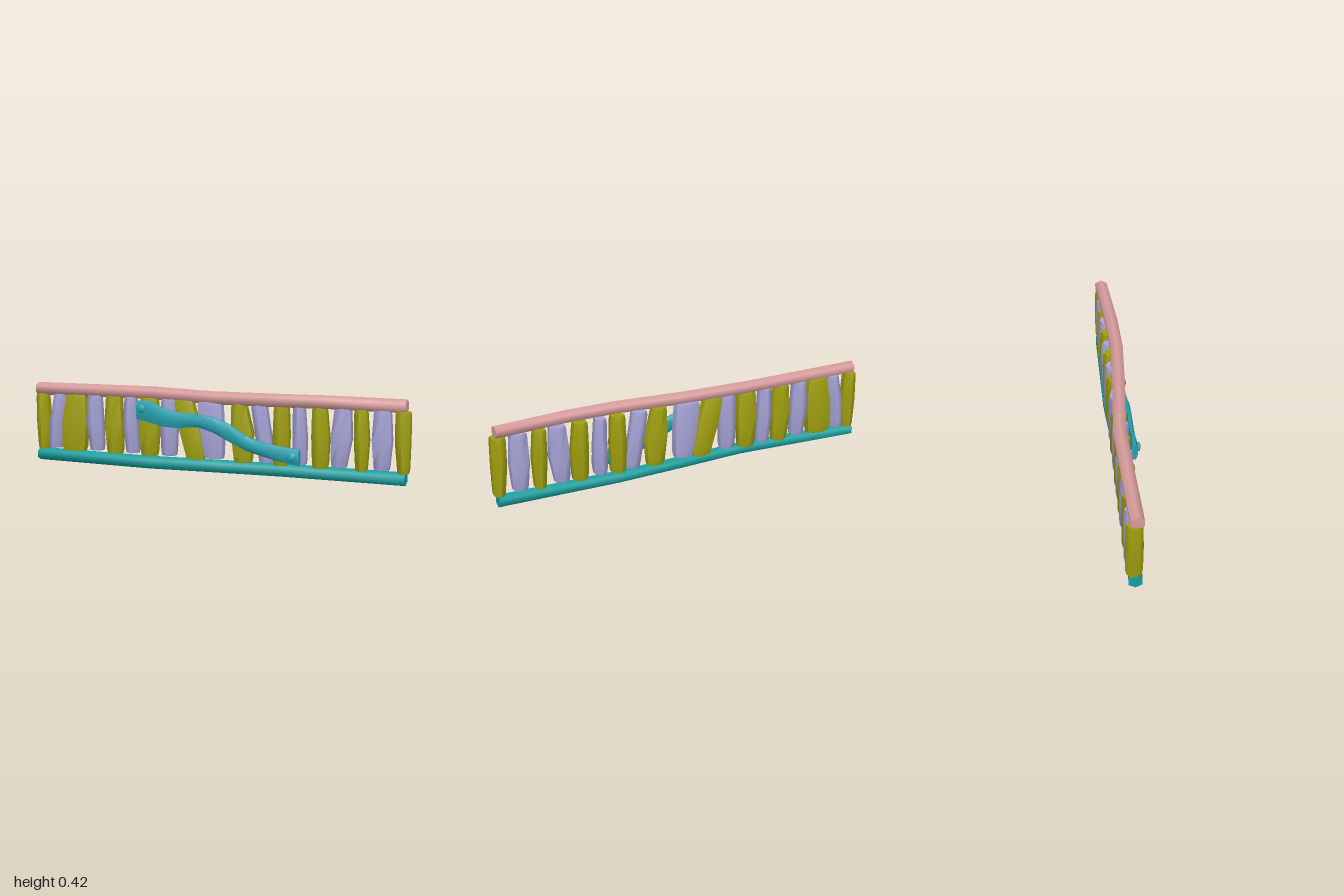
import * as THREE from 'three';
import { toCreasedNormals } from 'three/addons/utils/BufferGeometryUtils.js';

const mat = (name, color) => {
  const m = new THREE.MeshStandardMaterial({ color });
  m.name = name;
  return m;
};

// Capped loft through [x, y, z, halfU, halfV] sections; u x v points along the path.
function loft(sections, u, v, sides, turn = 0) {
  const pos = [], idx = [];
  for (const [x, y, z, a, b] of sections) {
    for (let j = 0; j < sides; j++) {
      const t = turn + (j / sides) * Math.PI * 2;
      const p = new THREE.Vector3(x, y, z)
        .addScaledVector(u, a * Math.cos(t))
        .addScaledVector(v, b * Math.sin(t));
      pos.push(p.x, p.y, p.z);
    }
  }
  const last = (sections.length - 1) * sides;
  for (let i = 0; i < last; i += sides) {
    for (let j = 0; j < sides; j++) {
      const k = (j + 1) % sides;
      idx.push(i + j, i + k, i + sides + k, i + j, i + sides + k, i + sides + j);
    }
  }
  for (let j = 1; j < sides - 1; j++) {
    idx.push(0, j + 1, j, last, last + j, last + j + 1);
  }
  const g = new THREE.BufferGeometry();
  g.setAttribute('position', new THREE.Float32BufferAttribute(pos, 3));
  g.setIndex(idx);
  return toCreasedNormals(g, 1.15);
}

const X = new THREE.Vector3(1, 0, 0);
const Y = new THREE.Vector3(0, 1, 0);
const Z = new THREE.Vector3(0, 0, 1);

export function createModel() {
  const group = new THREE.Group();
  const olive = mat('olive', 0xa0a010);
  const lavender = mat('lavender', 0xa6a2d6);
  const pink = mat('dusty pink', 0xd89c9c);
  const teal = mat('teal', 0x0fa0a0);
  const blueTeal = mat('blue teal', 0x24a0b0);

  const add = (name, geometry, material, parent = group) => {
    const m = new THREE.Mesh(geometry, material);
    m.name = name;
    parent.add(m);
    return m;
  };

  // Rails: hexagonal bars that wander in depth. Each point is x, y, z.
  const rail = (points) =>
    loft(points.map(([x, y, z]) => [x, y, z, 0.033, 0.036]), Y, Z, 6);
  add('topRail', rail([
    [-0.99, 0.378, -0.008], [-0.35, 0.381, -0.033], [0, 0.375, -0.008],
    [0.35, 0.381, 0.01], [0.6, 0.384, 0.002], [0.975, 0.38, -0.026],
  ]), pink);
  add('bottomRail', rail([
    [-0.99, 0.032, -0.015], [-0.35, 0.032, 0.015], [0, 0.032, -0.01],
    [0.35, 0.032, -0.03], [0.975, 0.032, -0.027],
  ]), teal);

  // Slats: centre x at bottom, middle, top, then the three widths.
  const slats = [
    [-0.965, -0.965, -0.97, 0.055, 0.07, 0.06],
    [-0.895, -0.885, -0.865, 0.07, 0.075, 0.065],
    [-0.785, -0.78, -0.77, 0.13, 0.14, 0.11],
    [-0.655, -0.665, -0.665, 0.07, 0.085, 0.07],
    [-0.55, -0.555, -0.555, 0.08, 0.095, 0.08],
    [-0.45, -0.46, -0.46, 0.065, 0.07, 0.06],
    [-0.355, -0.355, -0.355, 0.085, 0.105, 0.09],
    [-0.245, -0.245, -0.245, 0.075, 0.085, 0.075],
    [-0.10, -0.13, -0.16, 0.1, 0.11, 0.1],
    [0, -0.01, -0.02, 0.1, 0.12, 0.125],
    [0.155, 0.15, 0.135, 0.09, 0.11, 0.075],
    [0.28, 0.26, 0.24, 0.075, 0.075, 0.075],
    [0.355, 0.355, 0.355, 0.075, 0.08, 0.07],
    [0.45, 0.45, 0.445, 0.065, 0.065, 0.055],
    [0.555, 0.555, 0.55, 0.075, 0.085, 0.07],
    [0.65, 0.66, 0.665, 0.075, 0.1, 0.08],
    [0.76, 0.76, 0.755, 0.055, 0.07, 0.06],
    [0.86, 0.86, 0.86, 0.075, 0.095, 0.08],
    [0.965, 0.96, 0.96, 0.055, 0.07, 0.07],
  ];
  const slatGroup = new THREE.Group();
  slatGroup.name = 'slats';
  group.add(slatGroup);
  slats.forEach(([b, m, t, wb, wm, wt], i) => {
    const odd = i % 2;
    const low = odd ? 0.07 : 0.06;
    const z = -0.02;
    const r = 0.5 / Math.cos(Math.PI / 6);
    add('slat', loft([
      [b, low, z, 0.035, wb * r * 0.9],
      [b, low + 0.025, z, 0.04, wb * r],
      [m, 0.21, z, 0.042, wm * r],
      [t, 0.335, z, 0.04, wt * r],
      [t, 0.355, z, 0.036, wt * r * 0.92],
    ], Z, X, 6), odd ? lavender : olive, slatGroup);
  });

  // Diagonal brace: x, lower edge y, upper edge y.
  const s = 1 / Math.cos(Math.PI / 8);
  const brace = [
    [-0.4, 0.255, 0.345], [-0.335, 0.24, 0.35], [-0.25, 0.222, 0.312],
    [-0.18, 0.22, 0.298], [-0.06, 0.23, 0.292], [0.02, 0.207, 0.282],
    [0.1, 0.168, 0.253], [0.19, 0.128, 0.2], [0.28, 0.105, 0.172],
    [0.38, 0.083, 0.158], [0.465, 0.072, 0.152],
  ];
  add('brace', loft(
    brace.map(([x, lo, hi]) => [x, (lo + hi) / 2, 0.033, (hi - lo) / 2 * s, 0.016 * s]),
    Y, Z, 8, Math.PI / 8), blueTeal);

  // Domed bolt heads at both ends of the brace
  for (const [x, y, tilt] of [[-0.37, 0.308, 0], [0.43, 0.115, 0.2]]) {
    const bolt = add('bolt', new THREE.SphereGeometry(0.023, 8, 6), blueTeal);
    bolt.scale.z = 0.45;
    bolt.position.set(x, y, 0.054);
    bolt.rotation.x = -tilt;
  }
  return group;
}
